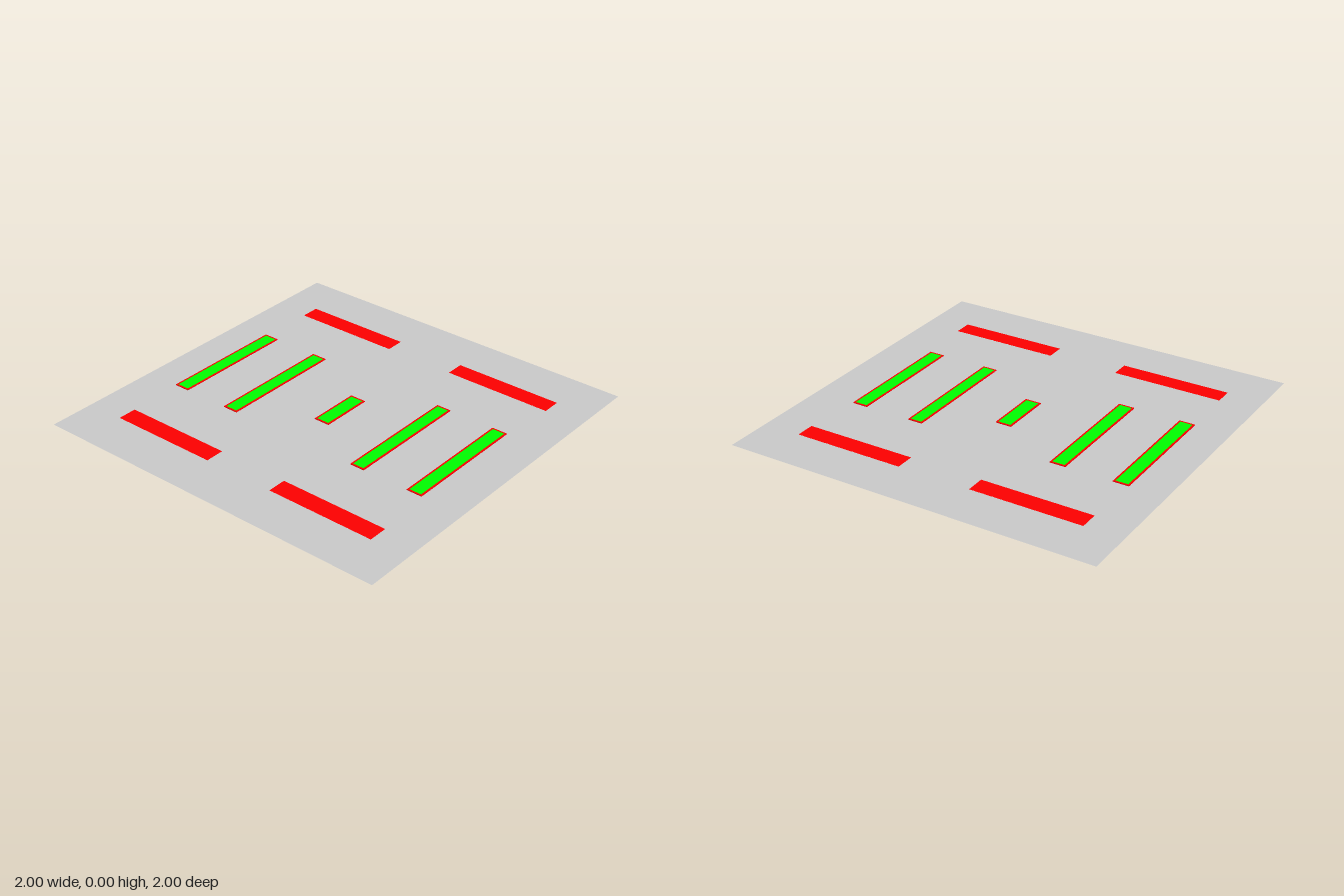
import * as THREE from 'three';

const CURB = 0.009;   // width of the red kerb
const RISE = 0.004;   // height of the kerbed islands
const LINE = 0.004;   // width of a painted bay line

// x and z bounds of each planted island, with the z reach of its bay lines
const islands = [
  { x: 0.345, z0: -0.807, z1: -0.722, reach: [-0.877, -0.652], lines: 14 },
  { x: 0.345, z0: -0.47, z1: -0.385, reach: [-0.54, -0.315], lines: 14 },
  { x: 0.143, z0: -0.045, z1: 0.043, reach: [-0.107, -0.0 + 0.1], lines: 6 },
  { x: 0.345, z0: 0.347, z1: 0.428, reach: [0.273, 0.49], lines: 14 },
  { x: 0.345, z0: 0.682, z1: 0.767, reach: [0.62, 0.823], lines: 14 },
];

// flat red strips along both sides, with the x reach of their bay lines
const strips = [
  { x0: -0.75, x1: -0.648, z0: -0.796, z1: -0.197, reach: [-0.82, -0.575], first: -0.775 },
  { x0: -0.75, x1: -0.648, z0: 0.197, z1: 0.794, reach: [-0.82, -0.575], first: 0.215 },
  { x0: 0.648, x1: 0.75, z0: -0.796, z1: -0.197, reach: [0.567, 0.813], first: -0.775 },
  { x0: 0.648, x1: 0.75, z0: 0.197, z1: 0.794, reach: [0.585, 0.803], first: 0.215 },
];

// rectangle on the ground; shape y is -z
function rect(x0, x1, z0, z1, Type = THREE.Shape) {
  return new Type([
    new THREE.Vector2(x0, -z1), new THREE.Vector2(x1, -z1),
    new THREE.Vector2(x1, -z0), new THREE.Vector2(x0, -z0),
  ]);
}

export function createModel() {
  const model = new THREE.Group();
  const paint = (color) => new THREE.MeshStandardMaterial({ color, side: THREE.DoubleSide });
  const grey = paint(0xcccccc), red = paint(0xff0000), green = paint(0x00ff00), white = paint(0xffffff);

  const add = (name, geometry, material, y = 0) => {
    const mesh = new THREE.Mesh(geometry.rotateX(-Math.PI / 2), material);
    mesh.name = name;
    mesh.position.y = y;
    model.add(mesh);
  };
  const flat = (shape) => new THREE.ShapeGeometry(shape);
  const raised = (shape) => new THREE.ExtrudeGeometry(shape, { depth: RISE, bevelEnabled: false });

  // ground with openings for islands and strips
  const ground = rect(-1, 1, -1, 1);
  for (const i of islands) ground.holes.push(rect(-i.x, i.x, i.z0, i.z1, THREE.Path));
  for (const s of strips) ground.holes.push(rect(s.x0, s.x1, s.z0, s.z1, THREE.Path));
  add('ground', flat(ground), grey);

  const bayLines = [];

  // islands: red kerb around a green bed
  for (const { x, z0, z1, reach, lines } of islands) {
    const inner = [-x + CURB, x - CURB, z0 + CURB, z1 - CURB];
    const kerb = rect(-x, x, z0, z1);
    kerb.holes.push(rect(...inner, THREE.Path));
    add('islandKerb', raised(kerb), red);
    add('islandGrass', raised(rect(...inner)), green);
    for (let n = 0; n < lines; n++) {
      const cx = (n - (lines - 1) / 2) * 0.05;
      bayLines.push(rect(cx - LINE / 2, cx + LINE / 2, reach[0], z0));
      bayLines.push(rect(cx - LINE / 2, cx + LINE / 2, z1, reach[1]));
    }
  }

  // side strips
  for (const { x0, x1, z0, z1, reach, first } of strips) {
    add('sideStrip', flat(rect(x0, x1, z0, z1)), red);
    for (let n = 0; n < 12; n++) {
      const cz = first + n * 0.05;
      bayLines.push(rect(reach[0], x0, cz - LINE / 2, cz + LINE / 2));
      bayLines.push(rect(x1, reach[1], cz - LINE / 2, cz + LINE / 2));
    }
  }

  // painted bay lines, just above the ground
  add('bayLines', flat(bayLines), white, 0.001);

  return model;
}
